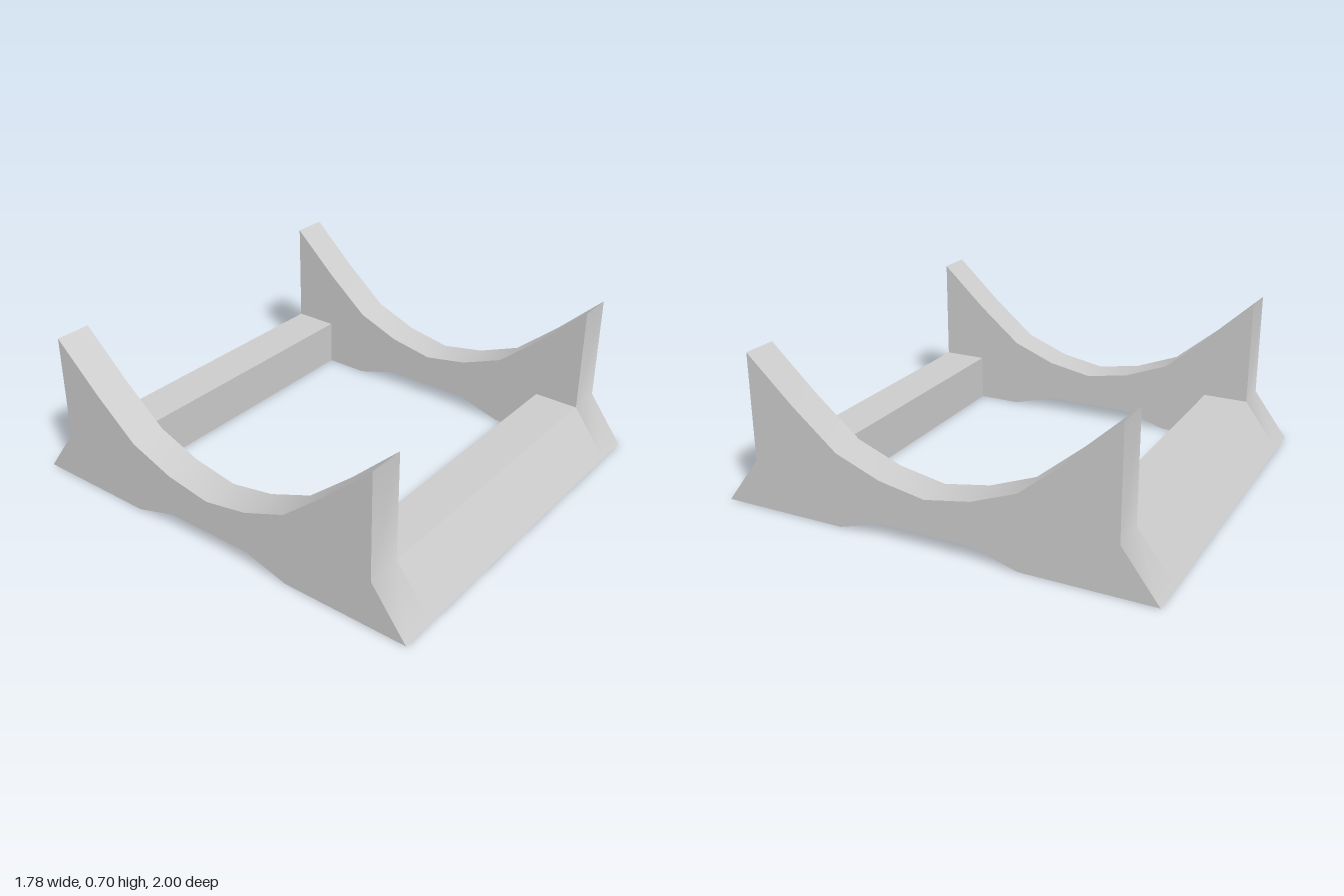
import * as THREE from 'three';
import { toCreasedNormals } from 'three/addons/utils/BufferGeometryUtils.js';

const material = new THREE.MeshStandardMaterial({ color: 0xcccccc });
const OUTER = 0.89, INNER = 0.725;

// Extrude a (z, y) profile along x, centred on x = 0
function extrudeAlongX(profile, width) {
  const shape = new THREE.Shape(profile.map(([z, y]) => new THREE.Vector2(z, y)));
  const geometry = new THREE.ExtrudeGeometry(shape, { depth: width, bevelEnabled: false });
  geometry.translate(0, 0, -width / 2).rotateY(-Math.PI / 2);
  return toCreasedNormals(geometry, 0.72);
}

function addPart(group, name, geometry, x = 0) {
  const mesh = new THREE.Mesh(geometry, material);
  mesh.name = name;
  mesh.position.x = x;
  group.add(mesh);
  return mesh;
}

export function createModel() {
  const group = new THREE.Group();
  group.name = 'cradleStand';

  // Side cradles: half profile from underside centre to saddle, mirrored in z
  const half = [
    [0.21, 0.06], [0.415, 0], [1, 0], [0.835, 0.22], [0.835, 0.705],
    [0.62, 0.505], [0.415, 0.335], [0.21, 0.255],
  ];
  const mirrored = half.map(([z, y]) => [-z, y]).reverse();
  const sideGeometry = extrudeAlongX([...half, [0, 0.217], ...mirrored], OUTER - INNER);
  const sideX = (OUTER + INNER) / 2;
  addPart(group, 'leftSide', sideGeometry, sideX);
  addPart(group, 'rightSide', sideGeometry, -sideX);

  // Cross bars with a sloped outer face
  const barGeometry = extrudeAlongX(
    [[0.625, 0], [1, 0], [0.835, 0.22], [0.625, 0.22]], INNER * 2);
  addPart(group, 'frontBar', barGeometry);
  addPart(group, 'backBar', barGeometry).rotation.y = Math.PI;

  return group;
}
